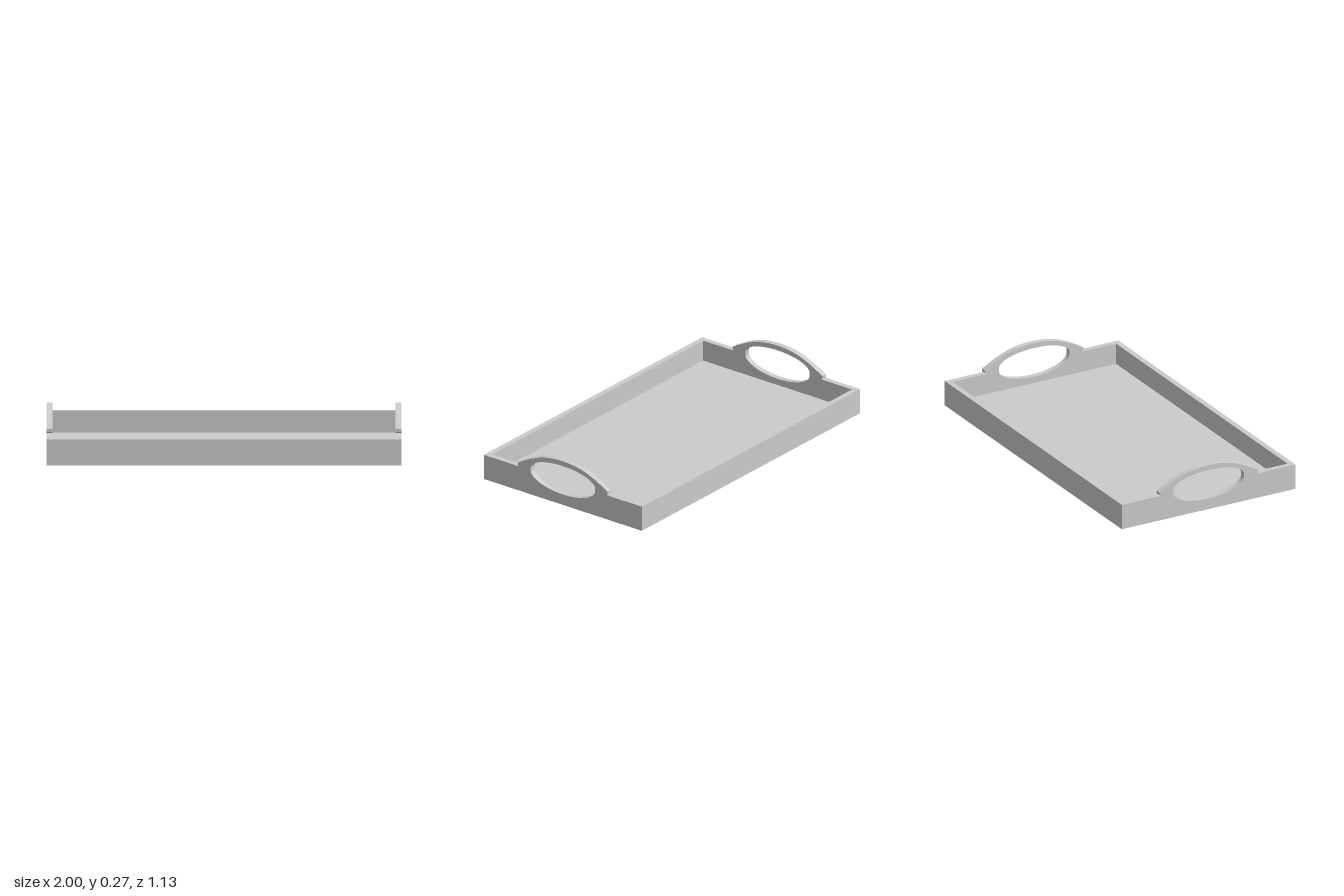
import * as THREE from 'three';
import { toCreasedNormals } from 'three/addons/utils/BufferGeometryUtils.js';

const HALF_X = 1, HALF_Z = 0.565, WALL_H = 0.15, T = 0.033;
const GRIP = 0.23; // half width of the hand opening

const material = new THREE.MeshStandardMaterial({ color: 0xcccccc });

function addMesh(parent, geometry, name) {
  const mesh = new THREE.Mesh(geometry, material);
  mesh.name = name;
  parent.add(mesh);
  return mesh;
}

// Extrudes a shape by the wall thickness, keeping hard edges crisp and curves smooth
function slab(shape, mitreHalf = 0) {
  const geo = new THREE.ExtrudeGeometry(shape, { depth: T, bevelEnabled: false, curveSegments: 32 });
  if (mitreHalf) {
    // Shorten the inner face at both ends for 45 degree mitred corners
    const p = geo.attributes.position;
    for (let i = 0; i < p.count; i++) {
      const x = p.getX(i);
      if (p.getZ(i) < T / 2 && Math.abs(x) > mitreHalf - 1e-4) p.setX(i, x - Math.sign(x) * T);
    }
  }
  return toCreasedNormals(geo, 0.5);
}

// Upright wall, its outer face towards local +z; end walls get a half-ellipse bite
function wallGeometry(half, bite) {
  const s = new THREE.Shape();
  s.moveTo(-half, 0);
  s.lineTo(half, 0);
  s.lineTo(half, WALL_H);
  if (bite) {
    s.lineTo(GRIP, WALL_H);
    s.absellipse(0, WALL_H, GRIP, 0.085, 0, Math.PI, true);
  }
  s.lineTo(-half, WALL_H);
  s.closePath();
  return slab(s, half);
}

// Arched handle standing on an end wall
function handleGeometry() {
  const s = new THREE.Shape();
  s.moveTo(GRIP, WALL_H);
  s.lineTo(0.312, WALL_H);
  s.lineTo(0.321, 0.156);
  s.lineTo(0.321, 0.172);
  s.lineTo(0.245, 0.214);
  s.splineThru([[0.154, 0.25], [0.075, 0.266], [0, 0.271], [-0.075, 0.266], [-0.154, 0.25], [-0.245, 0.214]]
    .map(([x, y]) => new THREE.Vector2(x, y)));
  s.lineTo(-0.321, 0.172);
  s.lineTo(-0.321, 0.156);
  s.lineTo(-0.312, WALL_H);
  s.lineTo(-GRIP, WALL_H);
  s.lineTo(-GRIP, 0.166);
  s.absellipse(0, 0.166, GRIP, 0.075, Math.PI, 0, true);
  s.closePath();
  return slab(s);
}

export function createModel() {
  const tray = new THREE.Group();
  tray.name = 'servingTray';

  // Base panel, set slightly above the lower rim
  const base = addMesh(tray,
    new THREE.BoxGeometry(2 * (HALF_X - T), 0.012, 2 * (HALF_Z - T)), 'basePanel');
  base.position.y = 0.02;

  // Long walls
  const longWall = wallGeometry(HALF_X, false);
  for (const [name, turn] of [['frontWall', 0], ['backWall', Math.PI]]) {
    const wall = addMesh(tray, longWall, name);
    wall.rotation.y = turn;
    wall.position.z = Math.cos(turn) * (HALF_Z - T);
  }

  // End walls with their handles
  const endWall = wallGeometry(HALF_Z, true);
  const handle = handleGeometry();
  for (const [side, sign] of [['left', 1], ['right', -1]]) {
    const end = new THREE.Group();
    end.name = side + 'End';
    addMesh(end, endWall, side + 'Wall');
    addMesh(end, handle, side + 'Handle');
    end.rotation.y = sign * Math.PI / 2;
    end.position.x = sign * (HALF_X - T);
    tray.add(end);
  }
  return tray;
}
